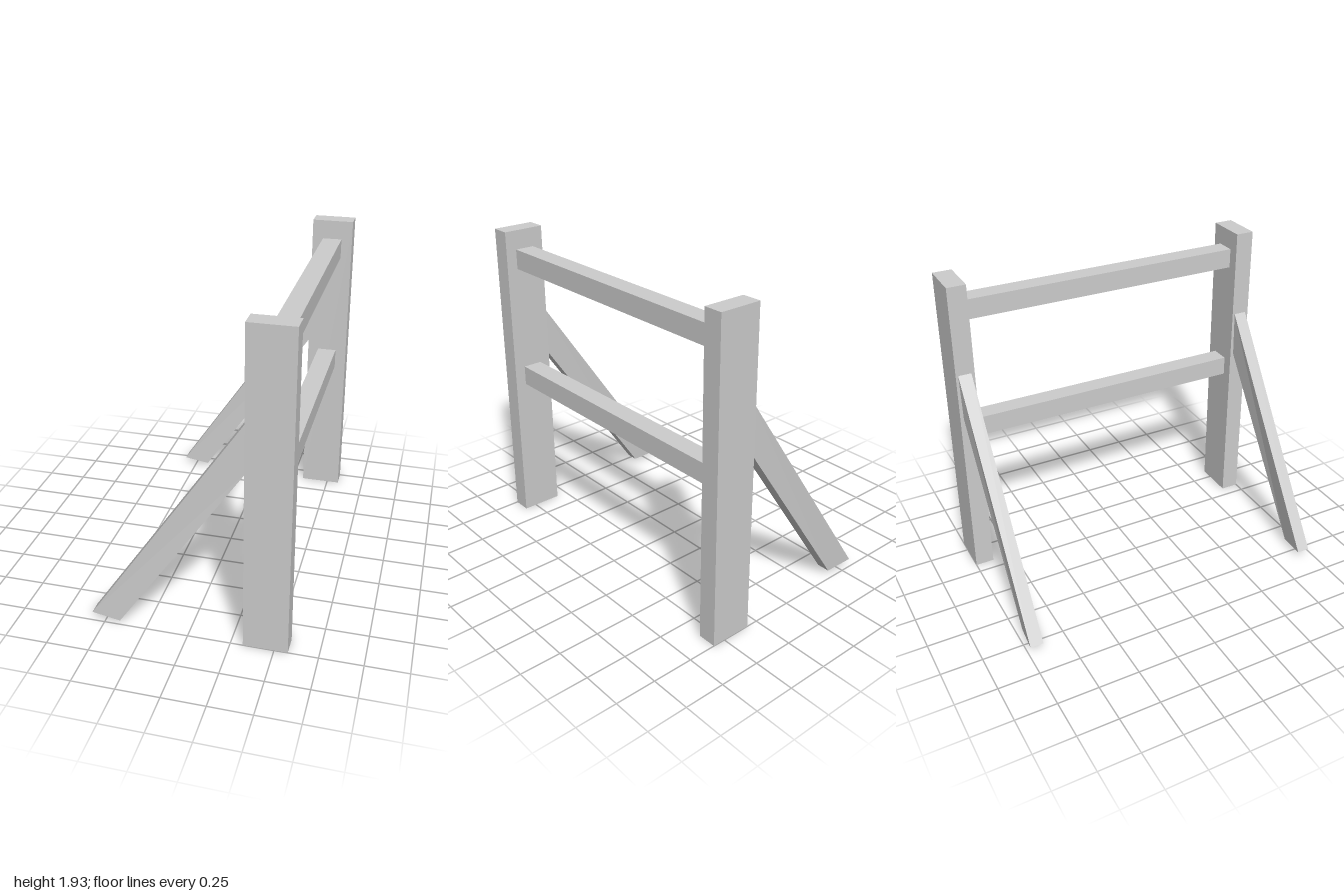
import * as THREE from 'three';

const material = new THREE.MeshStandardMaterial({ color: 0xcccccc, flatShading: true });

// Box given by its lower and upper limits
function beam(name, min, max) {
  const size = max.map((v, i) => v - min[i]);
  const mesh = new THREE.Mesh(new THREE.BoxGeometry(...size), material);
  mesh.position.set(...max.map((v, i) => (v + min[i]) / 2));
  mesh.name = name;
  return mesh;
}

// Leaning brace: a box whose corners follow the cut ends, with a slight twist
function brace(name, zCentre) {
  const geometry = new THREE.BoxGeometry(1, 1, 1);
  const pos = geometry.attributes.position;
  const ends = {
    foot: { upper: [-0.58, 0.04, 0], lower: [-0.405, 0.025, 0.018] },
    head: { upper: [0.34, 1.41, 0], lower: [0.34, 1.12, 0.006] },
  };
  for (let i = 0; i < pos.count; i++) {
    const end = pos.getY(i) < 0 ? ends.foot : ends.head;
    const [x, y, dz] = pos.getX(i) < 0 ? end.upper : end.lower;
    pos.setXYZ(i, x, y, zCentre + dz + pos.getZ(i) * 0.08);
  }
  geometry.computeVertexNormals();
  const mesh = new THREE.Mesh(geometry, material);
  mesh.name = name;
  return mesh;
}

export function createModel() {
  const model = new THREE.Group();
  model.name = 'railFrame';

  // Upright posts, each with its brace
  model.add(beam('frontPost', [0.322, 0, 0.885], [0.578, 1.928, 1]));
  model.add(beam('backPost', [0.322, 0, -1], [0.578, 1.928, -0.885]));
  model.add(brace('frontBrace', 0.94));
  model.add(brace('backBrace', -0.945));

  // Crossbars between the posts
  for (const [name, y] of [['lowerRail', 0.977], ['upperRail', 1.749]]) {
    model.add(beam(name, [0.39, y - 0.061, -0.89], [0.51, y + 0.061, 0.89]));
  }
  return model;
}
